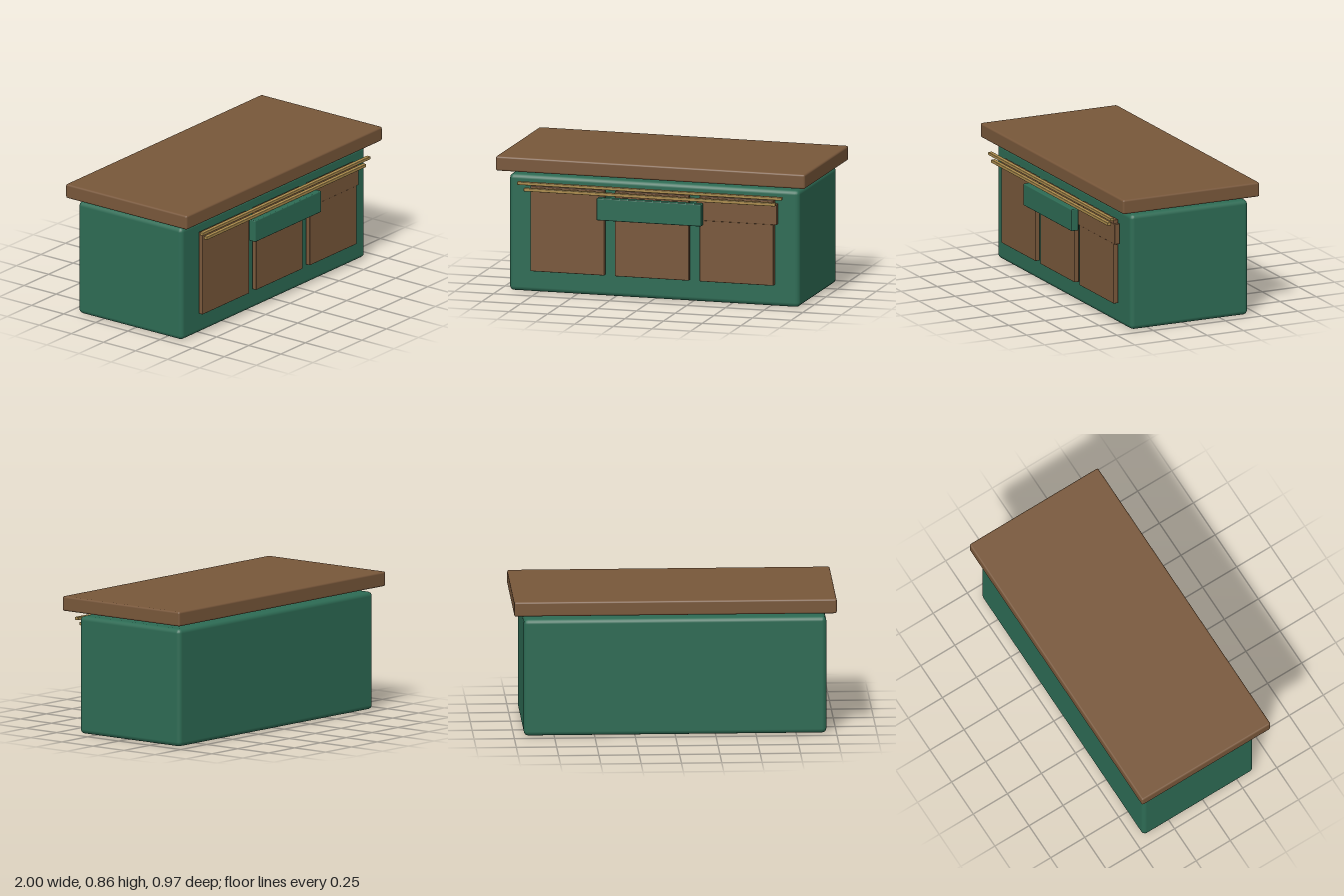
import * as THREE from 'three';
import { RoundedBoxGeometry } from 'three/addons/geometries/RoundedBoxGeometry.js';

const material = (name, color) => {
  const m = new THREE.MeshStandardMaterial({ color });
  m.name = name;
  return m;
};

export function createModel() {
  const green = material('green paint', 0x2d6b54);
  const wood = material('brown wood', 0x78573a);
  const brass = material('brass', 0xa98a4c);
  const group = new THREE.Group();
  group.name = 'counter';

  // Softly edged block given by its extents on each axis
  const block = (name, mat, [x0, x1], [y0, y1], [z0, z1], radius) => {
    const geometry = new RoundedBoxGeometry(x1 - x0, y1 - y0, z1 - z0, 2, radius);
    const mesh = new THREE.Mesh(geometry, mat);
    mesh.name = name;
    mesh.position.set((x0 + x1) / 2, (y0 + y1) / 2, (z0 + z1) / 2);
    group.add(mesh);
  };

  // Cabinet and the worktop floating just above it
  block('cabinet', green, [-0.938, 0.938], [0, 0.738], [-0.439, 0.372], 0.028);
  block('worktop', wood, [-1, 1], [0.769, 0.861], [-0.487, 0.457], 0.012);

  // Three front panels
  for (const x of [-0.547, 0, 0.547]) {
    block('frontPanel', wood, [x - 0.239, x + 0.239], [0.139, 0.678], [0.386, 0.418], 0.004);
  }

  // Drawer front over the left panel
  block('drawerFront', wood, [0.287, 0.807], [0.524, 0.654], [0.384, 0.42], 0.004);

  // Raised centre plaque
  block('plaque', green, [-0.338, 0.338], [0.5, 0.64], [0.438, 0.487], 0.006);

  // Trim rails
  block('upperRail', brass, [-0.855, 0.855], [0.692, 0.711], [0.447, 0.474], 0.003);
  block('lowerRail', brass, [-0.813, 0.813], [0.653, 0.673], [0.447, 0.474], 0.003);

  return group;
}
